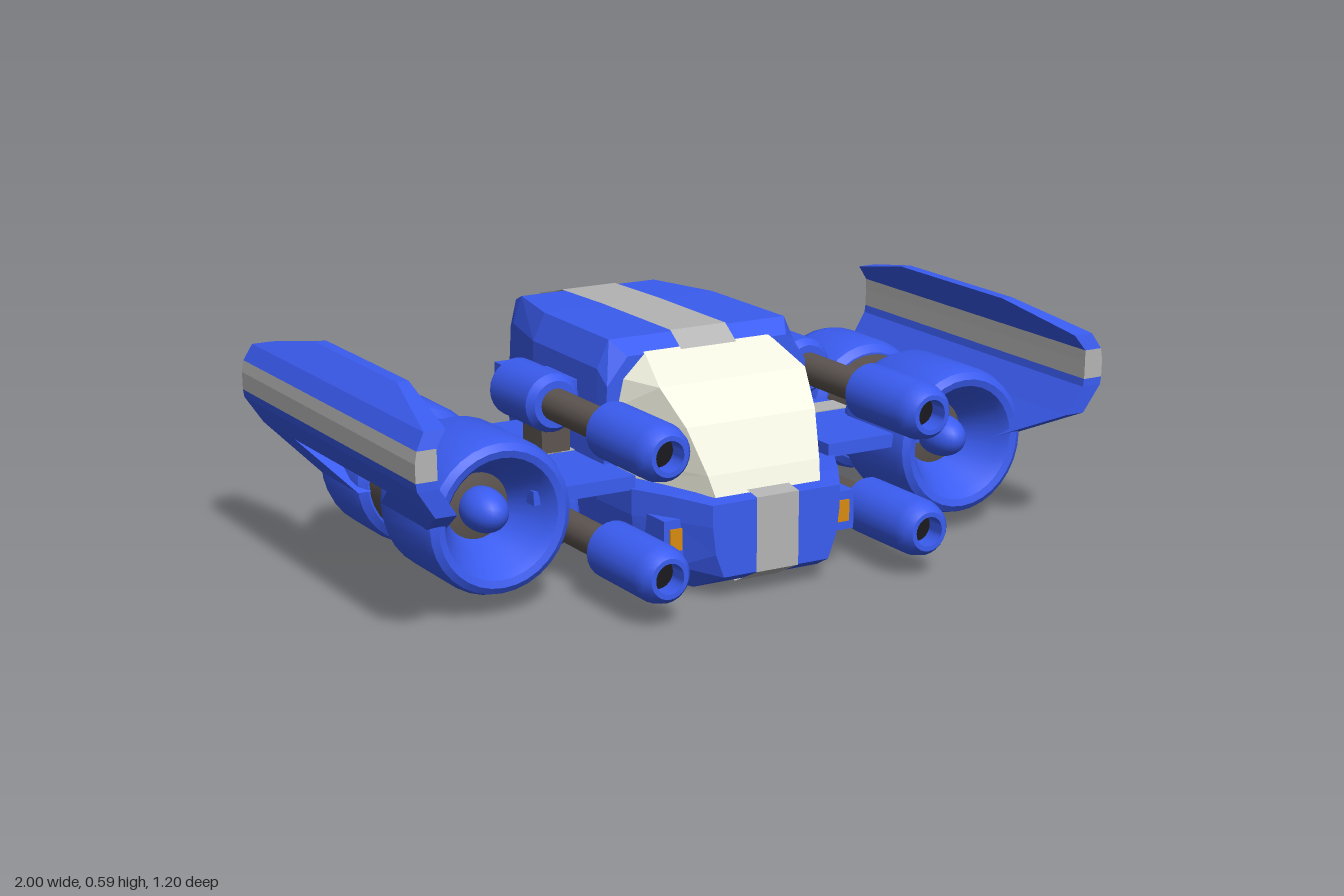
import * as THREE from 'three';
import { toCreasedNormals } from 'three/addons/utils/BufferGeometryUtils.js';

const mat = (color, side = THREE.FrontSide) =>
  new THREE.MeshStandardMaterial({ color, side });
const BLUE = mat(0x3a5cf0), GREY = mat(0xb4b4b4, THREE.DoubleSide), DARK = mat(0x5c5450, THREE.DoubleSide),
  GLASS = mat(0xf0f0e0), ORANGE = mat(0xd98a10), BLACK = mat(0x1a1a1e);

function add(parent, name, geo, material, x = 0, y = 0, z = 0) {
  const m = new THREE.Mesh(geo, material);
  m.name = name;
  m.position.set(x, y, z);
  parent.add(m);
  return m;
}

// Flat-shaded solid through rings of equal point count, capped at both ends
function loft(rings, flip = false) {
  const pos = [], n = rings[0].length;
  const tri = (a, b, c) => pos.push(...a, ...(flip ? c : b), ...(flip ? b : c));
  for (let k = 0; k + 1 < rings.length; k++) {
    const p = rings[k], q = rings[k + 1];
    for (let i = 0; i < n; i++) {
      const j = (i + 1) % n;
      tri(p[i], p[j], q[j]);
      tri(p[i], q[j], q[i]);
    }
  }
  const a = rings[0], b = rings[rings.length - 1];
  for (let i = 1; i + 1 < n; i++) {
    tri(a[0], a[i + 1], a[i]);
    tri(b[0], b[i], b[i + 1]);
  }
  const g = new THREE.BufferGeometry();
  g.setAttribute('position', new THREE.Float32BufferAttribute(pos, 3));
  g.computeVertexNormals();
  return g;
}

// Symmetric hull ring at z from a half outline listed bottom to top
const hullRing = (z, half) => [
  ...half.map(([x, y]) => [x, y, z]),
  ...half.slice().reverse().map(([x, y]) => [-x, y, z]),
];

// Slab from rows [y, zFront, zBack, outer x, thickness], mirrored by s
const slab = (rows, s) => loft(rows.map(([y, f, b, x, t = 0.055]) =>
  [[s * x, y, f], [s * x, y, b], [s * (x - t), y, b], [s * (x - t), y, f]]), s < 0);

// Flat ribbon laid along a [y, z] path
function ribbon(path, halfWidth, x = 0) {
  const g = new THREE.PlaneGeometry(1, 1, 1, path.length - 1), p = g.attributes.position;
  path.forEach(([y, z], i) => {
    p.setXYZ(2 * i, x - halfWidth, y, z);
    p.setXYZ(2 * i + 1, x + halfWidth, y, z);
  });
  const flat = g.toNonIndexed();
  flat.computeVertexNormals();
  return flat;
}

// Turned part along z from [radius, z] points
const turned = (pts, seg = 32) => toCreasedNormals(
  new THREE.LatheGeometry(pts.map(([r, z]) => new THREE.Vector2(r, z)), seg).rotateX(Math.PI / 2), 0.6);

function addHull(g) {
  const ring = (z, yb, yt, w, wt) => hullRing(z, [
    [wt * 0.82, yb], [w * 0.95, yb + 0.065], [w, 0.25], [w * 0.96, yt - 0.07], [wt, yt]]);
  add(g, 'hull', loft([
    ring(-0.585, 0.13, 0.46, 0.19, 0.17),
    ring(-0.55, 0.05, 0.545, 0.205, 0.18),
    ring(-0.48, 0.005, 0.57, 0.235, 0.20),
    ring(-0.26, 0.005, 0.575, 0.295, 0.25),
    ring(0.08, 0.005, 0.575, 0.30, 0.255),
    ring(0.13, 0.005, 0.54, 0.30, 0.23)]), BLUE);

  const noseRing = (z, yb, wb, w, yt) => hullRing(z, [
    [wb, yb], [w * 0.95, yb + 0.06], [w, 0.18], [w, yt]]);
  add(g, 'nose', loft([
    noseRing(0.1, 0.005, 0.21, 0.302, 0.245),
    noseRing(0.26, 0.005, 0.21, 0.295, 0.245),
    noseRing(0.36, 0.005, 0.18, 0.24, 0.243),
    noseRing(0.455, 0.05, 0.15, 0.182, 0.235)]), BLUE);

  // Canopy: rows rise from the nose to the roof
  const row = (y, zf, wf, wb) => [[wf, y, zf], [wb, y, 0.1], [-wb, y, 0.1], [-wf, y, zf]];
  add(g, 'canopy', loft([
    row(0.24, 0.415, 0.15, 0.27),
    row(0.29, 0.395, 0.16, 0.275),
    row(0.40, 0.335, 0.185, 0.27),
    row(0.485, 0.25, 0.21, 0.25),
    row(0.545, 0.125, 0.18, 0.19)]), GLASS);

  // Stripes along roof, nose and belly
  add(g, 'roofStripe', ribbon([[0.541, 0.134], [0.579, 0.081], [0.579, -0.26], [0.574, -0.48], [0.55, -0.55]], 0.08), GREY);
  add(g, 'noseStripe', ribbon([[0.249, 0.40], [0.239, 0.459], [0.05, 0.459], [0.001, 0.361], [0.001, 0.27]], 0.06), GREY);
  add(g, 'bellyStripe', ribbon([[0.001, 0.27], [0.001, -0.48]], 0.08), GREY);

  // Raised rear hatch with twin stripes
  const back = [[0.04, -0.545], [0.13, -0.592], [0.46, -0.592], [0.535, -0.56]];
  add(g, 'rearHatch', loft(back.map(([y, z]) =>
    [[0.145, y, z + 0.06], [0.145, y, z], [-0.145, y, z], [-0.145, y, z + 0.06]])), BLUE);
  for (const s of [-1, 1]) {
    add(g, 'rearStripe', ribbon([[0.0, -0.48], ...back.map(([y, z]) => [y, z - 0.004]), [0.555, -0.552]], 0.027, s * 0.08), GREY);
    // Nose lamps
    add(g, 'lampHousing', new THREE.BoxGeometry(0.065, 0.1, 0.14), BLUE, s * 0.242, 0.14, 0.31);
    add(g, 'lamp', new THREE.BoxGeometry(0.033, 0.055, 0.01), ORANGE, s * 0.242, 0.14, 0.38);
  }
}

function addEngine(g, s) {
  const e = new THREE.Group();
  e.name = s > 0 ? 'leftEngine' : 'rightEngine';
  e.position.set(s * 0.667, 0.235, 0);
  g.add(e);
  // Intake drum with a funnel mouth
  add(e, 'intake', turned([[0.1, 0.005], [0.165, 0.005], [0.182, 0.015], [0.193, 0.045], [0.193, 0.265], [0.185, 0.29],
    [0.168, 0.302], [0.15, 0.297], [0.135, 0.275], [0.08, 0.16], [0.078, 0.15]]), BLUE);
  add(e, 'intakeHub', turned([[0.09, 0.15], [0.085, 0.165], [0.04, 0.175], [0, 0.175]]), DARK);
  const bulb = add(e, 'intakeBulb', new THREE.SphereGeometry(0.055, 24, 16), BLUE, 0, 0, 0.2);
  bulb.scale.z = 1.5;
  add(e, 'engineBand', turned([[0.145, -0.14], [0.145, 0.02]]), DARK);
  add(e, 'rearDrum', turned([[0.06, -0.35], [0.11, -0.355], [0.13, -0.37], [0.155, -0.367], [0.172, -0.35], [0.178, -0.325],
    [0.178, -0.165], [0.17, -0.14], [0.15, -0.125], [0.1, -0.125]]), BLUE);
  add(e, 'nozzle', turned([[0.068, -0.38], [0.088, -0.45], [0.1, -0.457], [0.104, -0.445], [0.08, -0.37], [0.08, -0.34]]), DARK);
  add(e, 'nozzleGlow', new THREE.CircleGeometry(0.075, 24).rotateY(Math.PI), ORANGE, 0, 0, -0.39);
}

function addGun(g, s, y) {
  const gun = new THREE.Group();
  gun.name = 'gun';
  gun.position.set(s * 0.37, y, 0);
  g.add(gun);
  add(gun, 'gunBreech', turned([[0, -0.21], [0.055, -0.21], [0.075, -0.19], [0.075, 0], [0.06, 0.02], [0, 0.02]], 24), BLUE);
  add(gun, 'gunBarrel', turned([[0.041, 0], [0.041, 0.31]], 24), DARK);
  add(gun, 'gunMuzzle', turned([[0, 0.285], [0.06, 0.285], [0.072, 0.3], [0.072, 0.525], [0.064, 0.555], [0.05, 0.572],
    [0.038, 0.572], [0.038, 0.47]], 24), BLUE);
  add(gun, 'gunBore', new THREE.CircleGeometry(0.039, 24), BLACK, 0, 0, 0.52);
  add(gun, 'gunMount', new THREE.BoxGeometry(0.1, 0.09, 0.16), BLUE, -s * 0.05, 0, -0.1);
  add(gun, 'gunBracket', new THREE.BoxGeometry(0.075, 0.08, 0.11), BLUE, -s * 0.035, 0, -0.25);
}

function addWing(g, s) {
  const w = new THREE.Group();
  w.name = s > 0 ? 'leftWing' : 'rightWing';
  g.add(w);
  add(w, 'wingTop', slab([
    [0.485, 0.47, -0.52, 0.968, 0.05], [0.525, 0.46, -0.515, 0.945, 0.055], [0.575, 0.2, -0.26, 0.885, 0.03]], s), BLUE);
  add(w, 'wingStripe', slab([[0.41, 0.47, -0.52, 0.972], [0.455, 0.47, -0.52, 0.973], [0.485, 0.47, -0.52, 0.968, 0.05]], s), GREY);
  add(w, 'wingBottom', slab([[0.32, 0.465, -0.515, 0.922], [0.39, 0.47, -0.52, 0.969], [0.41, 0.47, -0.52, 0.972]], s), BLUE);
  // Two raked struts down to the engine drums
  add(w, 'frontStrut', slab([[0.22, 0.25, 0, 0.845], [0.32, 0.465, 0.21, 0.922]], s), BLUE);
  add(w, 'rearStrut', slab([[0.22, -0.12, -0.33, 0.845], [0.32, -0.32, -0.515, 0.922]], s), BLUE);
}

export function createModel() {
  const root = new THREE.Group();
  root.name = 'spacecraft';
  const g = new THREE.Group();
  g.name = 'airframe';
  g.rotation.set(-0.008, -0.053, -0.007); // slight resting attitude
  root.add(g);
  addHull(g);
  for (const s of [-1, 1]) {
    addEngine(g, s);
    addWing(g, s);
    for (const y of [0.412, 0.115]) addGun(g, s, y);
    // Engine pylon plate and gun link
    add(g, 'pylon', new THREE.BoxGeometry(0.28, 0.035, 0.61), BLUE, s * 0.42, 0.258, -0.05);
    add(g, 'pylonStripe', new THREE.BoxGeometry(0.28, 0.04, 0.08), GREY, s * 0.42, 0.258, -0.06);
    add(g, 'gunLink', new THREE.BoxGeometry(0.08, 0.2, 0.1), DARK, s * 0.35, 0.26, -0.07);
  }
  return root;
}
